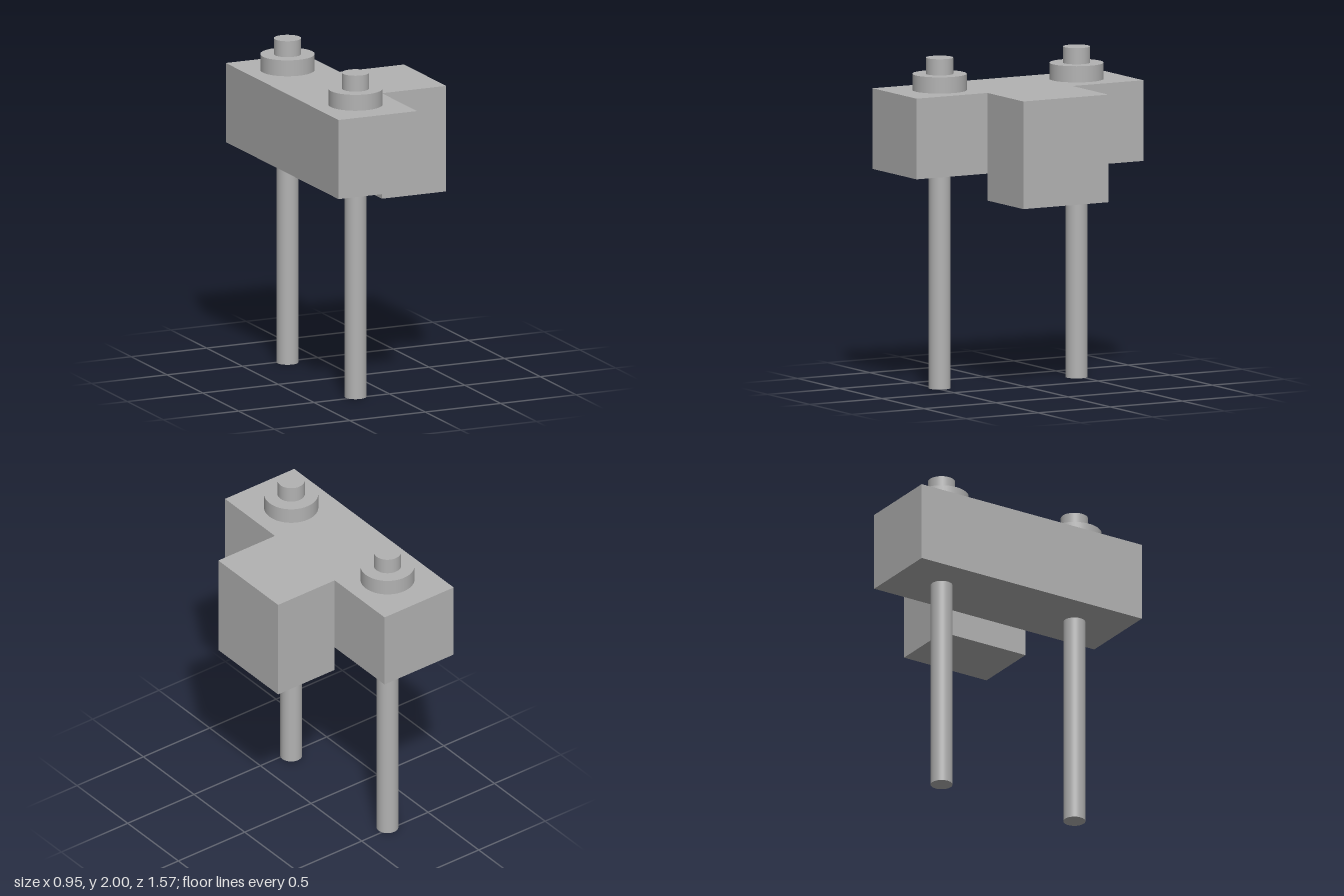
import * as THREE from 'three';

export function createModel() {
  const model = new THREE.Group();
  const grey = new THREE.MeshStandardMaterial({ color: 0xb2b2b2 });
  grey.name = 'grey';

  function add(name, geometry, x, y, z) {
    const mesh = new THREE.Mesh(geometry, grey);
    mesh.name = name;
    mesh.position.set(x, y, z);
    model.add(mesh);
  }

  // Box given by its lower and upper corners
  function addBox(name, [x0, y0, z0], [x1, y1, z1]) {
    add(name, new THREE.BoxGeometry(x1 - x0, y1 - y0, z1 - z0),
      (x0 + x1) / 2, (y0 + y1) / 2, (z0 + z1) / 2);
  }

  // Upright cylinder between two heights
  function addRod(name, radius, y0, y1, z) {
    add(name, new THREE.CylinderGeometry(radius, radius, y1 - y0, 48),
      -0.213, (y0 + y1) / 2, z);
  }

  // T-shaped body: long bar and the deeper block on its side
  addBox('crossBar', [-0.474, 1.316, -0.787], [0.047, 1.804, 0.787]);
  addBox('sideBlock', [0.047, 1.153, -0.295], [0.474, 1.804, 0.295]);

  // Two pins, each with a collar and a stud on top
  for (const [side, z] of [['front', 0.475], ['back', -0.475]]) {
    addRod(side + 'Pin', 0.066, 0, 1.316, z);
    addRod(side + 'Collar', 0.163, 1.804, 1.902, z);
    addRod(side + 'Stud', 0.082, 1.902, 2, z);
  }

  return model;
}
